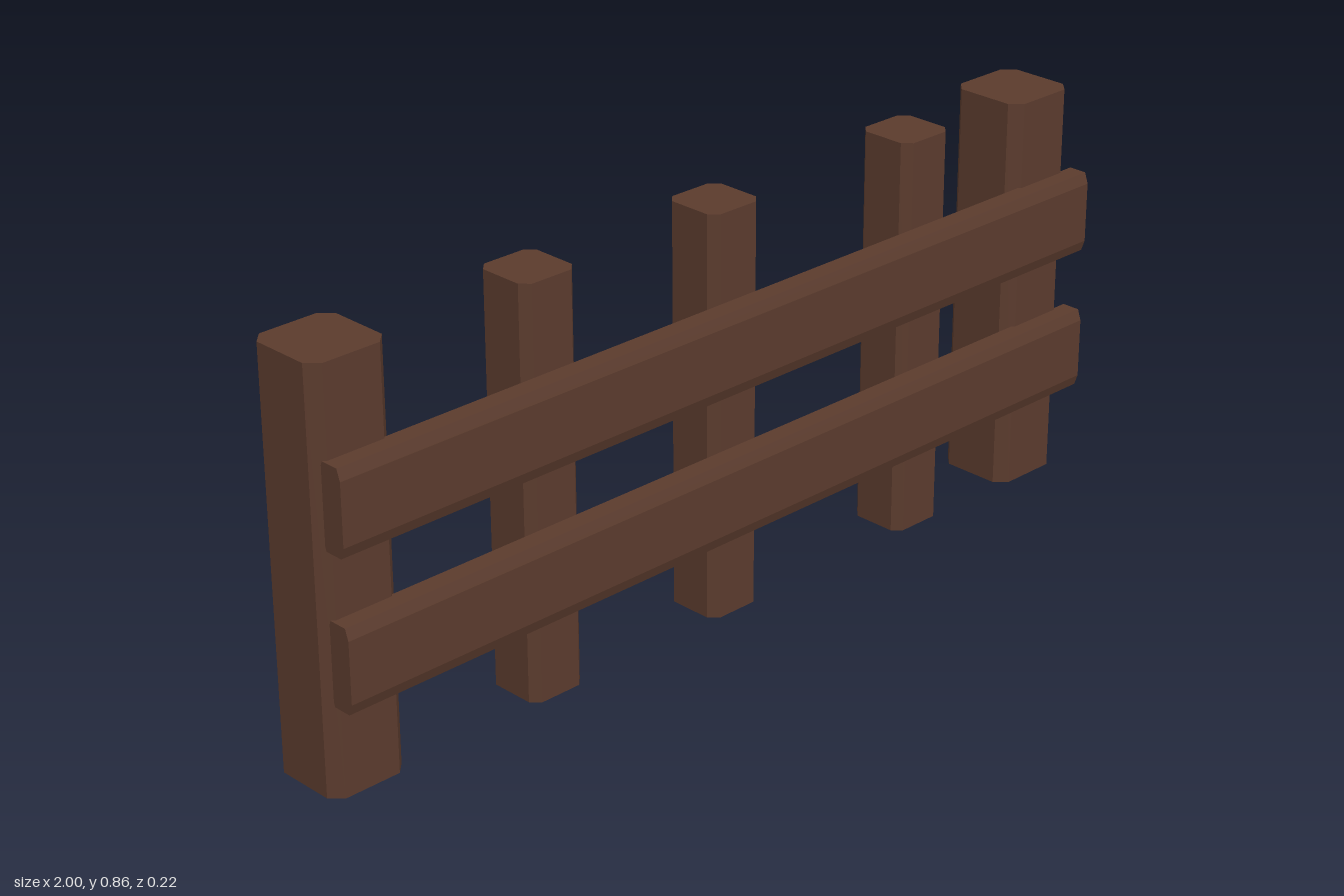
import * as THREE from 'three';

// Rectangle centred on the origin with cut corners
function chamferedRect(w, h, cx, cy) {
  const a = w / 2, b = h / 2;
  return new THREE.Shape([
    [a - cx, -b], [a, -b + cy], [a, b - cy], [a - cx, b],
    [-a + cx, b], [-a, b - cy], [-a, -b + cy], [-a + cx, -b],
  ].map(([x, y]) => new THREE.Vector2(x, y)));
}

function bar(shape, length) {
  return new THREE.ExtrudeGeometry(shape, { depth: length, bevelEnabled: false })
    .translate(0, 0, -length / 2);
}

export function createModel() {
  const group = new THREE.Group();
  const wood = new THREE.MeshStandardMaterial({ color: 0x5b3b2d });
  wood.name = 'dark brown wood';

  const add = (name, geometry, x, y, z) => {
    const mesh = new THREE.Mesh(geometry, wood);
    mesh.name = name;
    mesh.position.set(x, y, z);
    group.add(mesh);
  };

  // Upright posts: thick at the ends, thinner in between
  const height = 0.857;
  const thick = bar(chamferedRect(0.173, 0.173, 0.024, 0.024), height).rotateX(-Math.PI / 2);
  const thin = bar(chamferedRect(0.13, 0.13, 0.018, 0.018), height).rotateX(-Math.PI / 2);
  add('rightEndPost', thick, -0.913, height / 2, -0.021);
  add('leftEndPost', thick, 0.899, height / 2, -0.021);
  [-0.45, 0.021, 0.556].forEach((x, i) => add(`middlePost${i + 1}`, thin, x, height / 2, -0.006));

  // Horizontal rails across the front of the posts
  const rail = bar(chamferedRect(0.056, 0.174, 0.008, 0.023), 1.984).rotateY(Math.PI / 2);
  add('lowerRail', rail, 0.008, 0.277, 0.08);
  add('upperRail', rail, 0.008, 0.587, 0.08);

  return group;
}
